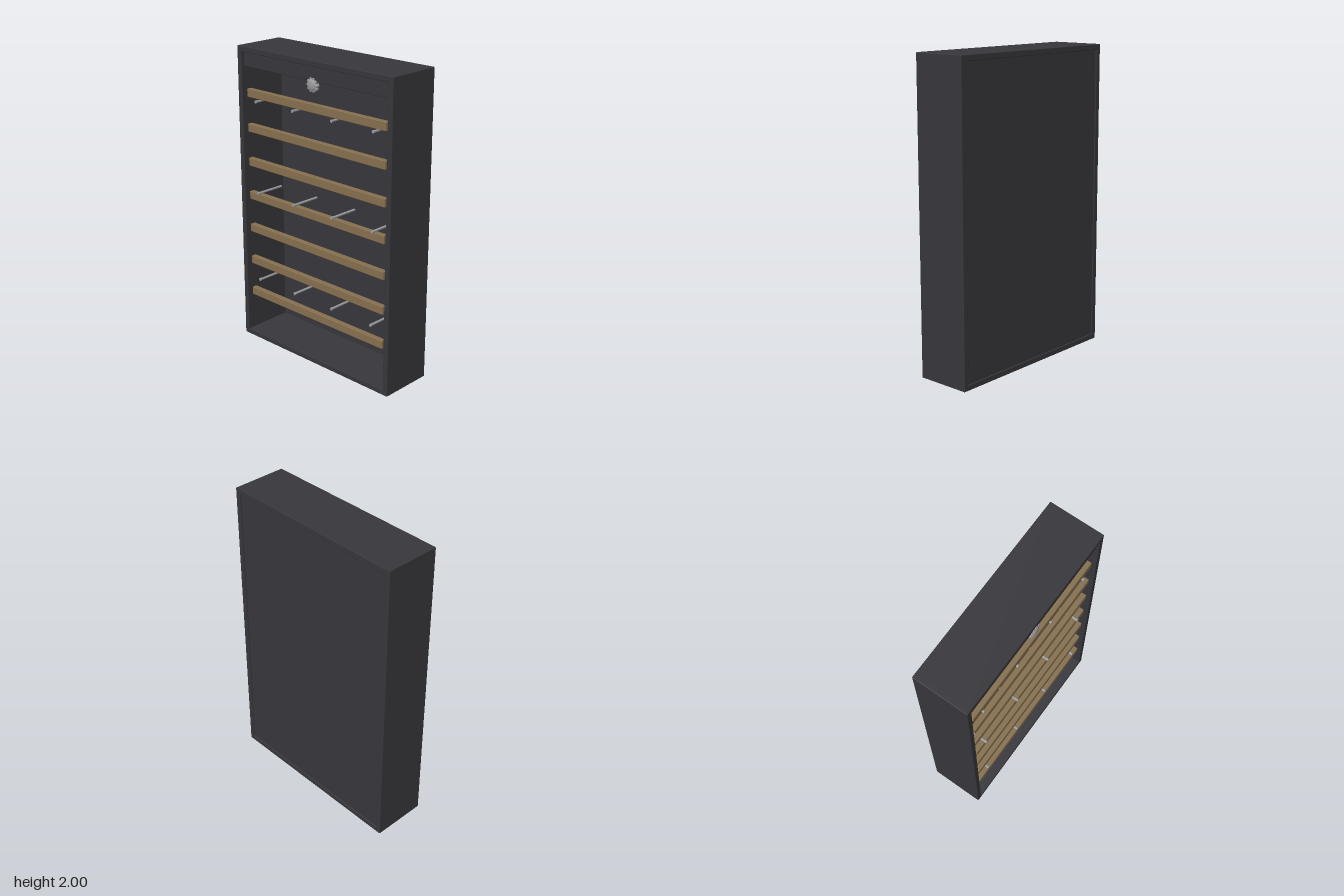
import * as THREE from 'three';
import { RoundedBoxGeometry } from 'three/addons/geometries/RoundedBoxGeometry.js';

const paint = new THREE.MeshStandardMaterial({ name: 'charcoal', color: 0x37373c });
const wood = new THREE.MeshStandardMaterial({ name: 'wood', color: 0x86704f });
const steel = new THREE.MeshStandardMaterial({ name: 'steel', color: 0x9a9b9e });

export function createModel() {
  const model = new THREE.Group();
  model.name = 'wallCabinet';

  const add = (name, geometry, material, x, y, z) => {
    const mesh = new THREE.Mesh(geometry, material);
    mesh.name = name;
    mesh.position.set(x, y, z);
    model.add(mesh);
    return mesh;
  };
  const box = (name, w, h, d, material, x, y, z, r = 0.004) =>
    add(name, new RoundedBoxGeometry(w, h, d, 2, r), material, x, y, z);

  // Case: two sides, top, bottom and a back panel set slightly in
  const W = 1.29, D = 0.364, T = 0.036;
  for (const s of [-1, 1]) box(s > 0 ? 'leftSide' : 'rightSide', T, 2, D, paint, s * (W - T) / 2, 1, 0);
  box('topBoard', W, T, D, paint, 0, 2 - T / 2, 0);
  box('bottomBoard', W, T, D, paint, 0, T / 2, 0);
  box('backPanel', W - 2 * T + 0.004, 2 - 2 * T + 0.004, 0.012, paint, 0, 1, -0.168, 0.002);

  // Header board behind the top of the opening
  box('header', 1.21, 0.096, 0.05, paint, 0, 1.917, 0.14);

  // Seven wooden rails
  for (let i = 0; i < 7; i++) box('rail', 1.166, 0.054, 0.036, wood, 0, 1.702 - i * 0.2293, 0.147);

  // Three rows of four steel pegs, each with a small collar at its end
  const peg = new THREE.CylinderGeometry(0.008, 0.008, 0.21, 10).rotateX(Math.PI / 2);
  const collar = new THREE.CylinderGeometry(0.01, 0.01, 0.012, 10).rotateX(Math.PI / 2);
  for (const y of [1.658, 1.046, 0.435]) {
    for (let i = 0; i < 4; i++) {
      const x = -0.495 + i * 0.33;
      add('peg', peg, steel, x, y, 0.07);
      add('pegCollar', collar, steel, x, y, 0.169);
    }
  }

  // Scalloped knob with a domed face and a spindle
  const outline = [];
  for (let i = 0; i < 80; i++) {
    const a = (i / 80) * Math.PI * 2;
    const r = 0.038 + 0.005 * Math.cos(10 * a);
    outline.push(new THREE.Vector2(r * Math.cos(a), r * Math.sin(a)));
  }
  const knob = new THREE.ExtrudeGeometry(new THREE.Shape(outline), {
    depth: 0.014, bevelEnabled: true, bevelSize: 0.004, bevelThickness: 0.004, bevelSegments: 2,
  });
  add('knob', knob, steel, 0, 1.847, 0.152);
  const dome = new THREE.SphereGeometry(0.034, 24, 8, 0, Math.PI * 2, 0, Math.PI / 2)
    .rotateX(Math.PI / 2).scale(1, 1, 0.3);
  add('knobDome', dome, steel, 0, 1.847, 0.169);
  const spindle = new THREE.CylinderGeometry(0.014, 0.014, 0.03, 16).rotateX(Math.PI / 2);
  add('knobSpindle', spindle, steel, 0, 1.847, 0.135);

  return model;
}
